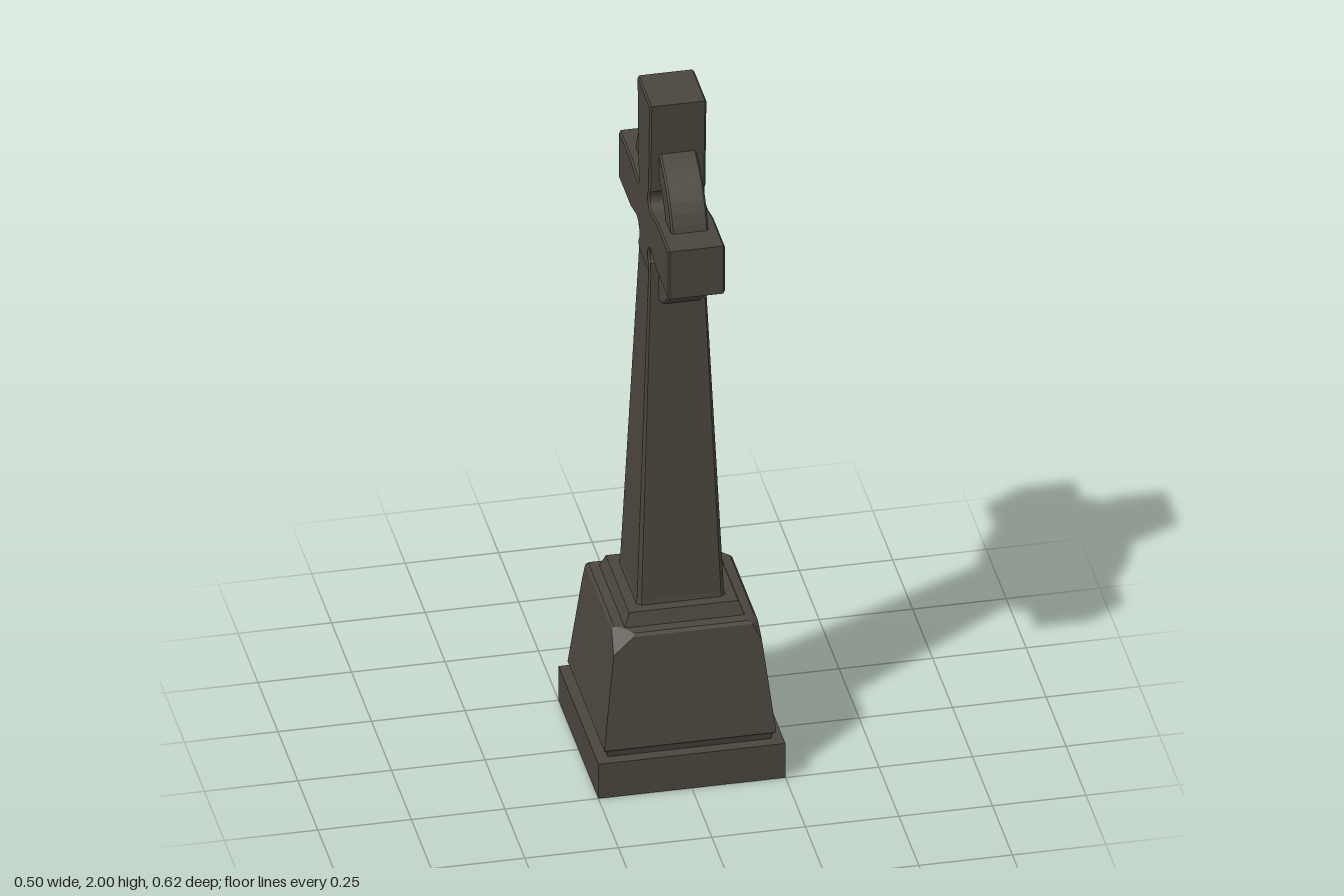
import * as THREE from 'three';

const CORNERS = [[1, 1], [1, -1], [-1, -1], [-1, 1]];
const CENTRE = 1.62; // height of the cross centre

// Joins square rings [y, halfX, halfZ, cut or four corner cuts] into a shell.
function loft(rings) {
  const loops = rings.map(([y, hx, hz, cut]) => CORNERS.flatMap(([sx, sz], i) => {
    const c = Array.isArray(cut) ? cut[i] : cut;
    const onX = [sx * hx, y, sz * (hz - c)];
    const onZ = [sx * (hx - c), y, sz * hz];
    return sx * sz > 0 ? [onZ, onX] : [onX, onZ];
  }));
  const pos = [];
  for (let i = 0; i < loops.length - 1; i++) {
    for (let j = 0; j < 8; j++) {
      const k = (j + 1) % 8;
      const [a, b, c, d] = [loops[i][j], loops[i][k], loops[i + 1][k], loops[i + 1][j]];
      pos.push(...a, ...b, ...c, ...a, ...c, ...d);
    }
  }
  const geo = new THREE.BufferGeometry();
  geo.setAttribute('position', new THREE.Float32BufferAttribute(pos, 3));
  geo.computeVertexNormals();
  return geo;
}

// Extrudes a side-on outline across x with a small bevelled edge.
function slab(shape, width, bevel) {
  const geo = new THREE.ExtrudeGeometry(shape, {
    depth: width - 2 * bevel, bevelEnabled: true, bevelSegments: 1,
    bevelSize: bevel, bevelThickness: bevel, bevelOffset: -bevel, curveSegments: 24,
  });
  geo.translate(0, 0, bevel - width / 2);
  geo.rotateY(Math.PI / 2);
  return geo;
}

function crossShape() {
  const s = new THREE.Shape();
  const foot = -0.14;
  s.moveTo(-0.065, foot);
  s.lineTo(0.065, foot);
  s.lineTo(0.066, -0.11);
  s.bezierCurveTo(0.04, -0.085, 0.065, -0.045, 0.11, -0.062);
  s.lineTo(0.16, -0.073);
  s.lineTo(0.31, -0.073);
  s.lineTo(0.31, 0.073);
  s.lineTo(0.16, 0.073);
  s.lineTo(0.11, 0.062);
  s.bezierCurveTo(0.065, 0.045, 0.04, 0.085, 0.066, 0.11);
  s.lineTo(0.08, 0.38);
  s.lineTo(-0.08, 0.38);
  s.lineTo(-0.066, 0.11);
  s.bezierCurveTo(-0.04, 0.085, -0.065, 0.045, -0.11, 0.062);
  s.lineTo(-0.16, 0.073);
  s.lineTo(-0.31, 0.073);
  s.lineTo(-0.31, -0.073);
  s.lineTo(-0.16, -0.073);
  s.lineTo(-0.11, -0.062);
  s.bezierCurveTo(-0.065, -0.045, -0.04, -0.085, -0.066, -0.11);
  s.closePath();
  return s;
}

export function createModel() {
  const group = new THREE.Group();
  const stone = new THREE.MeshStandardMaterial({ color: 0x4a453d, flatShading: true, side: THREE.DoubleSide });
  stone.name = 'weathered stone';
  const add = (name, geo, y = 0) => {
    const mesh = new THREE.Mesh(geo, stone);
    mesh.name = name;
    mesh.position.y = y;
    group.add(mesh);
  };
  const square = (y, h, cut = 0) => [y, h, h, cut];

  // Plinth, open underneath
  add('plinth', loft([square(0, 0.25), square(0.105, 0.25), square(0.105, 0.218)]));

  // Tapered pedestal with chipped top corners and a stepped cap
  add('pedestal', loft([
    square(0.105, 0.218), square(0.122, 0.222), square(0.13, 0.23),
    square(0.4, 0.198), square(0.447, 0.192, [0.018, 0.045, 0.004, 0.048]),
    square(0.455, 0.185, [0.018, 0.042, 0.004, 0.044]),
    square(0.458, 0.16), square(0.495, 0.146), square(0.497, 0.1),
  ]));

  // Tapering shaft with chamfered edges
  add('shaft', loft([
    [0.49, 0.12, 0.12, 0.012], [0.51, 0.116, 0.116, 0.01], [1.485, 0.075, 0.065, 0.005],
  ]));

  // Cross head and the ring through its arms
  add('crossHead', slab(crossShape(), 0.152, 0.005), CENTRE);
  const ring = new THREE.Shape().absarc(0, 0, 0.238, 0, Math.PI * 2, false);
  ring.holes.push(new THREE.Path().absarc(0, 0, 0.163, 0, Math.PI * 2, true));
  add('ring', slab(ring, 0.1, 0.005), CENTRE);

  return group;
}
